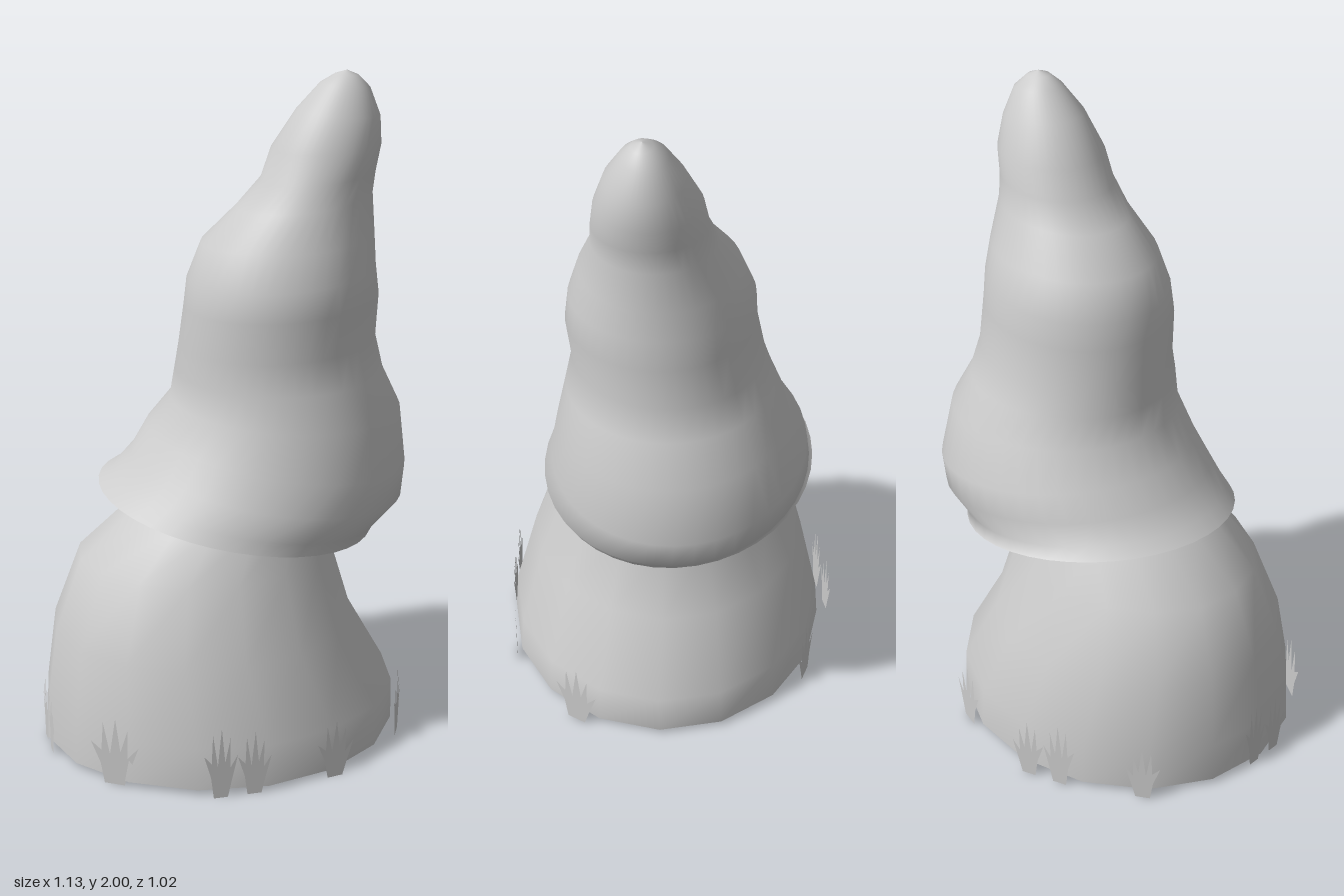
import * as THREE from 'three';

const grey = new THREE.MeshStandardMaterial({ color: 0xcccccc });
const thin = new THREE.MeshStandardMaterial({ color: 0xcccccc, side: THREE.DoubleSide });

// Smooth skin over tilted oval rings: [left x, left y, right x, right y, front z, back z]
function loft(rings, sides, lift = 0) {
  const pos = [], index = [];
  rings.forEach(([xl, yl, xr, yr, zf, zb], i) => {
    const k = lift * Math.max(0, 1 - i / 6);
    for (let j = 0; j < sides; j++) {
      const t = (j / sides) * Math.PI * 2, c = Math.cos(t), s = Math.sin(t);
      pos.push((xl + xr) / 2 + ((xr - xl) / 2) * c,
        (yl + yr) / 2 + ((yr - yl) / 2) * c - k * s,
        (zf + zb) / 2 + ((zf - zb) / 2) * s);
      if (i < rings.length - 1) {
        const a = i * sides + j, b = i * sides + (j + 1) % sides;
        index.push(a, a + sides, b, b, a + sides, b + sides);
      }
    }
  });
  const geo = new THREE.BufferGeometry();
  geo.setAttribute('position', new THREE.Float32BufferAttribute(pos, 3));
  geo.setIndex(index);
  geo.computeVertexNormals();
  return geo;
}

function add(group, name, geo, mat) {
  const mesh = new THREE.Mesh(geo, mat);
  mesh.name = name;
  group.add(mesh);
  return mesh;
}

// Flat clump of pointed blades, one unit wide and one unit tall
function tuftShape(wide) {
  const clump = [[-0.22, 0], [-0.3, 0.3], [-0.5, 0.62], [-0.28, 0.5], [-0.24, 0.92], [-0.1, 0.45],
    [0.02, 1], [0.12, 0.5], [0.28, 0.85], [0.27, 0.42], [0.5, 0.6], [0.32, 0.25], [0.2, 0]];
  const pts = wide
    ? [...clump.map(([x, y]) => [x / 2 - 0.25, y]), ...clump.map(([x, y]) => [x / 2 + 0.25, y * 0.9])]
    : clump;
  return new THREE.Shape(pts.map(([x, y]) => new THREE.Vector2(x, y)));
}

export function createModel() {
  const model = new THREE.Group();
  model.name = 'hattedMound';

  // Leaning body, narrowing up into the hat
  const bodyRings = [
    [0.015, -0.565, 0.515, 0.505, -0.475],
    [0.14, -0.56, 0.515, 0.495, -0.465],
    [0.36, -0.53, 0.39, 0.43, -0.41],
    [0.58, -0.45, 0.325, 0.345, -0.325],
    [0.72, -0.29, 0.3, 0.27, -0.25],
    [0.9, -0.1, 0.29, 0.19, -0.18],
    [1.0, 0.1, 0.1, 0, 0],
  ].map(([y, xl, xr, zf, zb]) => [xl, y, xr, y, zf, zb]);
  add(model, 'body', loft(bodyRings, 16), grey);

  // Flat underside of the body
  const base = add(model, 'base', new THREE.CircleGeometry(1, 16), grey);
  base.rotation.x = Math.PI / 2;
  base.scale.set(0.54, 0.49, 1);
  base.position.set(-0.025, 0.015, 0.015);

  // Floppy pointed hat, open at the tilted rim
  add(model, 'hat', loft([
    [-0.37, 0.77, 0.455, 0.635, 0.37, -0.43],
    [-0.33, 0.80, 0.47, 0.66, 0.365, -0.405],
    [-0.27, 0.86, 0.55, 0.73, 0.37, -0.415],
    [-0.22, 0.94, 0.565, 0.82, 0.345, -0.405],
    [-0.15, 1.03, 0.54, 1.0, 0.32, -0.35],
    [-0.14, 1.12, 0.48, 1.12, 0.295, -0.305],
    [-0.13, 1.2, 0.455, 1.22, 0.275, -0.275],
    [-0.12, 1.32, 0.455, 1.35, 0.29, -0.25],
    [-0.11, 1.4, 0.445, 1.44, 0.28, -0.245],
    [-0.07, 1.51, 0.44, 1.53, 0.25, -0.205],
    [0.03, 1.61, 0.43, 1.65, 0.21, -0.14],
    [0.1, 1.69, 0.435, 1.72, 0.205, -0.115],
    [0.13, 1.78, 0.45, 1.79, 0.195, -0.1],
    [0.2, 1.89, 0.445, 1.87, 0.165, -0.055],
    [0.27, 1.965, 0.415, 1.95, 0.12, -0.01],
    [0.31, 1.99, 0.38, 1.985, 0.09, 0.03],
    [0.345, 2.0, 0.345, 2.0, 0.06, 0.06],
  ], 40, 0.035), thin);

  // Grass tufts standing around the base: [x1, z1, x2, z2, height, wide]
  [
    [-0.22, -0.46, -0.02, -0.515, 0.22, true],
    [0.18, -0.455, 0.31, -0.41, 0.2, false],
    [-0.45, -0.335, -0.355, -0.385, 0.19, false],
    [-0.56, -0.06, -0.57, 0.12, 0.22, true],
    [-0.5, 0.29, -0.38, 0.375, 0.21, false],
    [-0.22, 0.5, -0.02, 0.51, 0.22, true],
    [0.13, 0.49, 0.245, 0.475, 0.18, false],
    [0.43, 0.335, 0.5, 0.21, 0.21, false],
  ].forEach(([x1, z1, x2, z2, h, wide]) => {
    const tuft = add(model, 'grassTuft', new THREE.ShapeGeometry(tuftShape(wide)), thin);
    tuft.position.set((x1 + x2) / 2, 0.01, (z1 + z2) / 2);
    tuft.rotation.y = Math.atan2(z1 - z2, x2 - x1);
    tuft.scale.set(Math.hypot(x2 - x1, z2 - z1), h, 1);
  });

  // Stand on the ground
  model.children.forEach((part) => { part.position.y -= part.name === 'grassTuft' ? 0.01 : 0; });
  return model;
}
